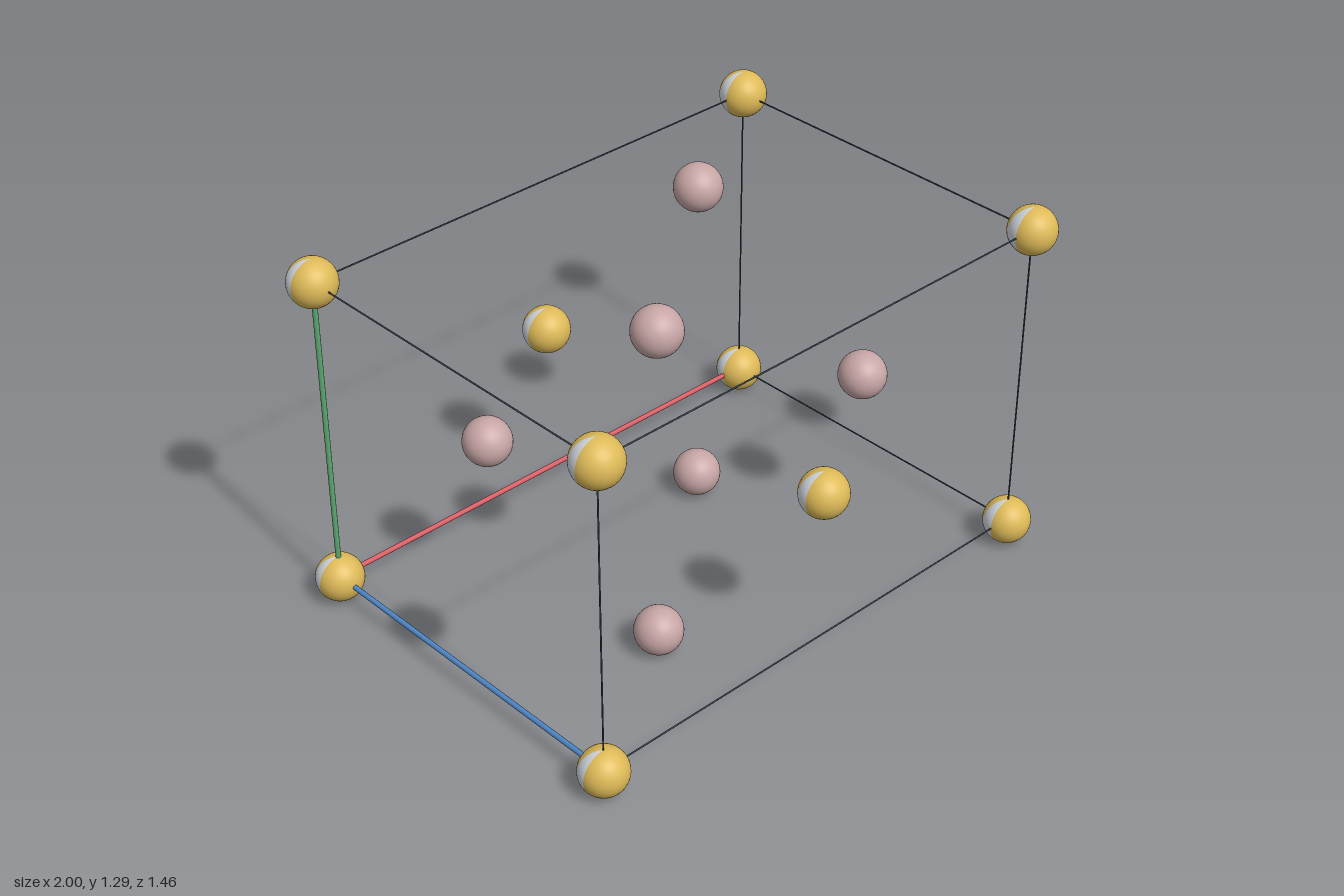
import * as THREE from 'three';

const R = 0.082;                       // atom radius
const X = 0.918, Z = 0.648;            // half sizes of the cell
const Y0 = R, Y1 = 1.21, YM = (Y0 + Y1) / 2;

const material = (name, color) => {
  const m = new THREE.MeshStandardMaterial({ color });
  m.name = name;
  return m;
};

export function createModel() {
  const model = new THREE.Group();
  model.name = 'crystalCell';

  const gold = material('gold', 0xdeba58);
  const pink = material('dustyPink', 0xc8a6a6);
  const pale = material('paleGrey', 0xd0d6de);
  const dark = material('darkEdge', 0x33424c);
  const red = material('axisRed', 0xd65c64);
  const green = material('axisGreen', 0x5ca872);
  const blue = material('axisBlue', 0x5088c8);

  // A tenth of each gold atom is a pale vertical wedge
  const split = Math.PI * 2 * 0.9;
  const goldGeo = new THREE.SphereGeometry(R, 36, 24, 0, split);
  const wedgeGeo = new THREE.SphereGeometry(R, 5, 24, split, Math.PI * 2 - split);
  const pinkGeo = new THREE.SphereGeometry(R, 36, 24);

  const add = (parent, name, geometry, mat) => {
    const mesh = new THREE.Mesh(geometry, mat);
    mesh.name = name;
    parent.add(mesh);
    return mesh;
  };

  const goldAtom = (name, x, y, z) => {
    const atom = new THREE.Group();
    atom.name = name;
    atom.position.set(x, y, z);
    add(atom, 'atomBody', goldGeo, gold);
    add(atom, 'atomWedge', wedgeGeo, pale);
    model.add(atom);
  };

  const pinkAtom = (x, y, z) => add(model, 'innerAtom', pinkGeo, pink).position.set(x, y, z);

  // Straight rod between two points
  const rod = (name, a, b, radius, mat) => {
    const from = new THREE.Vector3(...a), to = new THREE.Vector3(...b);
    const dir = to.clone().sub(from);
    const mesh = add(model, name, new THREE.CylinderGeometry(radius, radius, dir.length(), 12), mat);
    mesh.position.copy(from).add(to).multiplyScalar(0.5);
    mesh.quaternion.setFromUnitVectors(new THREE.Vector3(0, 1, 0), dir.normalize());
  };

  // Gold atoms at the corners and in the middle of the front and back faces
  for (const z of [-Z, Z]) {
    for (const x of [-X, X]) for (const y of [Y0, Y1]) goldAtom('cornerAtom', x, y, z);
    goldAtom('faceAtom', 0, YM, z);
  }

  // Pink atoms inside the cell and on its top and bottom faces
  for (const s of [-1, 1]) {
    pinkAtom(0.57 * s, YM, 0.274 * s);
    for (const y of [Y0, Y1]) pinkAtom(-0.346 * s, y, 0.274 * s);
  }

  // Cell edges: the three meeting at the origin corner are thicker coloured axes
  const edge = (axisName, axisMat, isAxis, a, b) =>
    rod(isAxis ? axisName : 'cellEdge', a, b, isAxis ? 0.009 : 0.0027, isAxis ? axisMat : dark);
  for (const i of [0, 1]) {
    for (const j of [0, 1]) {
      const isAxis = i + j === 0;
      const x = i ? X : -X, y = j ? Y1 : Y0, zi = i ? Z : -Z, zj = j ? Z : -Z;
      edge('axisX', red, isAxis, [-X, y, zi], [X, y, zi]);
      edge('axisY', green, isAxis, [x, Y0, zj], [x, Y1, zj]);
      edge('axisZ', blue, isAxis, [x, y, -Z], [x, y, Z]);
    }
  }

  return model;
}
